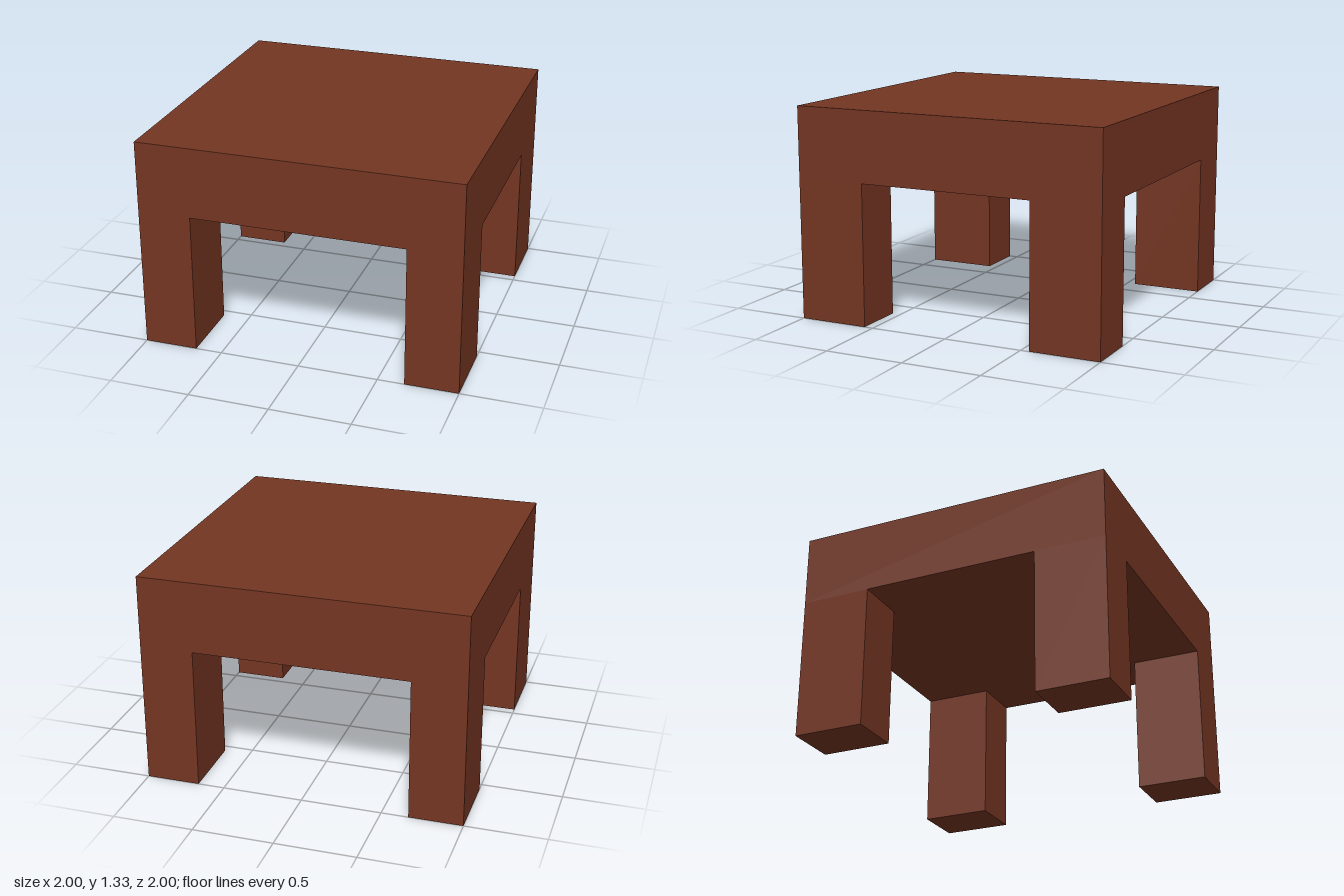
import * as THREE from 'three';

const WIDTH = 2, HEIGHT = 4 / 3, SLAB = 4 / 9;
const LEG_X = 1 / 3, LEG_Z = 4 / 9, LEG_H = HEIGHT - SLAB;

export function createModel() {
  const group = new THREE.Group();
  group.name = 'table';
  const wood = new THREE.MeshStandardMaterial({ color: 0x743522 });

  const addBox = (name, w, h, d, x, y, z) => {
    const mesh = new THREE.Mesh(new THREE.BoxGeometry(w, h, d), wood);
    mesh.name = name;
    mesh.position.set(x, y, z);
    group.add(mesh);
  };

  // Thick square top
  addBox('tableTop', WIDTH, SLAB, WIDTH, 0, HEIGHT - SLAB / 2, 0);

  // Four corner legs, flush with the outer sides and deeper than wide
  for (const [sx, side] of [[1, 'Left'], [-1, 'Right']]) {
    for (const [sz, end] of [[1, 'front'], [-1, 'back']]) {
      addBox(`${end}${side}Leg`, LEG_X, LEG_H, LEG_Z,
        sx * (WIDTH - LEG_X) / 2, LEG_H / 2, sz * (WIDTH - LEG_Z) / 2);
    }
  }

  return group;
}
